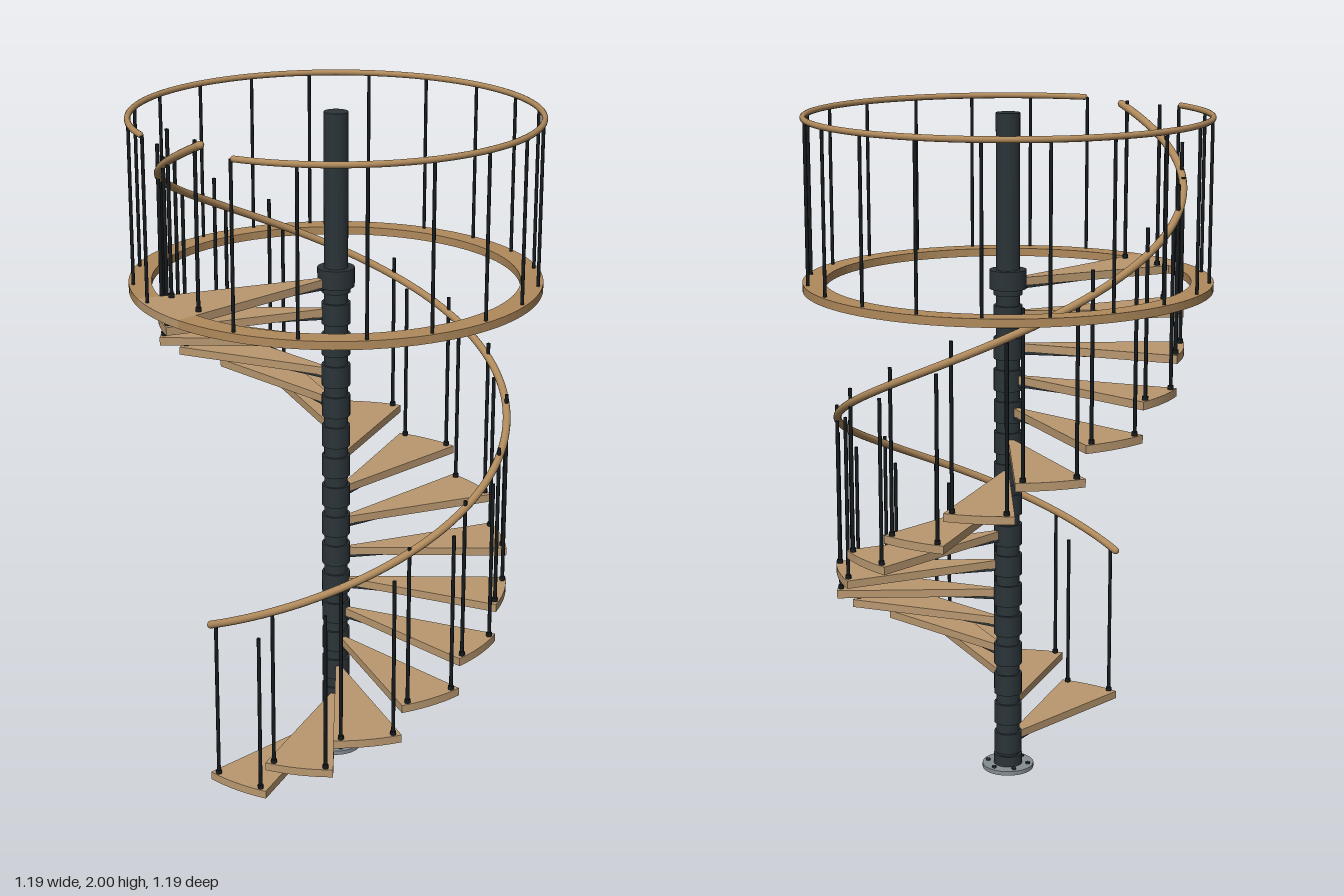
import * as THREE from 'three';

const mat = (color) => new THREE.MeshStandardMaterial({ color });
const TREAD_WOOD = mat(0xb99870), WOOD = mat(0xb08a5c), IRON = mat(0x2b3439), ROD = mat(0x161b1d), STEEL = mat(0x858d94);

const STEPS = 16, STEP_ANGLE = (Math.PI * 2) / STEPS;
const RISE = 0.0947, FIRST = 0.0875, THICK = 0.024;
const rad = THREE.MathUtils.degToRad;

// Angles run from +z towards +x.
const polar = (r, a, y) => new THREE.Vector3(r * Math.sin(a), y, r * Math.cos(a));

function add(parent, name, geometry, material, position) {
  const mesh = new THREE.Mesh(geometry, material);
  mesh.name = name;
  if (position) mesh.position.copy(position);
  parent.add(mesh);
  return mesh;
}

// Flat slab between two radii and two angles, centred on y = 0.
function sector(r0, r1, a0, a1, thick, n) {
  const pts = [];
  for (let i = 0; i <= n; i++) {
    const a = a0 + ((a1 - a0) * i) / n;
    pts.push(new THREE.Vector2(r1 * Math.sin(a), r1 * Math.cos(a)));
  }
  for (let i = n; i >= 0; i--) {
    const a = a0 + ((a1 - a0) * i) / n;
    pts.push(new THREE.Vector2(r0 * Math.sin(a), r0 * Math.cos(a)));
  }
  const g = new THREE.ExtrudeGeometry(new THREE.Shape(pts), { depth: thick, bevelEnabled: false });
  return g.rotateX(Math.PI / 2).translate(0, thick / 2, 0);
}

// Upright cylinder from y0 to y1.
function post(parent, name, radius, y0, y1, material, r = 0, a = 0, sides = 10) {
  return add(parent, name, new THREE.CylinderGeometry(radius, radius, y1 - y0, sides),
    material, polar(r, a, (y0 + y1) / 2));
}

// Circular or helical path for the handrails.
class SpiralCurve extends THREE.Curve {
  constructor(r, a0, a1, y0, y1) {
    super();
    Object.assign(this, { r, a0, a1, y0, y1 });
  }
  getPoint(t, target = new THREE.Vector3()) {
    return target.copy(polar(this.r, THREE.MathUtils.lerp(this.a0, this.a1, t),
      THREE.MathUtils.lerp(this.y0, this.y1, t)));
  }
}

function handrail(parent, name, curve, radius) {
  add(parent, name, new THREE.TubeGeometry(curve, 160, radius, 12), WOOD);
  for (const t of [0, 1]) {
    add(parent, name + 'End', new THREE.SphereGeometry(radius, 12, 8), WOOD, curve.getPoint(t));
  }
}

export function createModel() {
  const model = new THREE.Group();
  model.name = 'spiralStaircase';

  // Central column with base flange and bolts
  const column = new THREE.Group();
  column.name = 'column';
  model.add(column);
  post(column, 'pole', 0.035, 0.01, 2, IRON, 0, 0, 32);
  post(column, 'baseFlange', 0.078, 0, 0.013, STEEL, 0, 0, 40);
  post(column, 'baseSleeve', 0.043, 0.013, 0.045, IRON, 0, 0, 32);
  for (let i = 0; i < 6; i++) {
    post(column, 'flangeBolt', 0.007, 0.013, 0.019, IRON, 0.062, (i * Math.PI) / 3, 6);
  }
  post(column, 'landingCollar', 0.054, 1.492, 1.548, IRON, 0, 0, 32);

  // Treads, each with a hub collar, support bar and two balusters
  const stairs = new THREE.Group();
  stairs.name = 'stairs';
  model.add(stairs);
  for (let i = 0; i < STEPS; i++) {
    const y = FIRST + i * RISE;
    const a0 = i * STEP_ANGLE, a1 = a0 + STEP_ANGLE, mid = (a0 + a1) / 2;
    const top = i === STEPS - 1;
    const step = new THREE.Group();
    step.name = top ? 'landingStep' : 'step';
    stairs.add(step);
    add(step, 'tread', sector(0.03, top ? 0.595 : 0.514, a0, a1, THICK, 10), TREAD_WOOD, new THREE.Vector3(0, y, 0));
    post(step, 'hubCollar', 0.042, y - 0.034, y + 0.03, IRON, 0, 0, 32);
    const bar = add(step, 'supportBar', new THREE.BoxGeometry(0.016, 0.01, 0.37), IRON,
      polar(0.22, mid, y - THICK / 2 - 0.004));
    bar.rotation.y = mid;
    for (const a of [a0 + rad(2.5), a1 - rad(2.5)]) {
      post(step, 'baluster', 0.0055, y - THICK / 2, Math.min(y + 0.497, 1.998), ROD, 0.503, a, 8);
      post(step, 'balusterFoot', 0.0085, y + THICK / 2, y + THICK / 2 + 0.012, ROD, 0.503, a, 8);
    }
  }
  handrail(model, 'stairHandrail', new SpiralCurve(0.502, 0, Math.PI * 2, 0.578, 1.987), 0.0115);

  // Upper ring with its guard rail
  const gallery = new THREE.Group();
  gallery.name = 'upperRing';
  model.add(gallery);
  const ringY = FIRST + (STEPS - 1) * RISE;
  add(gallery, 'ringFloor', sector(0.53, 0.595, 0, Math.PI * 2 - STEP_ANGLE, THICK, 90), WOOD,
    new THREE.Vector3(0, ringY, 0));
  for (let i = 1; i < 20; i++) {
    post(gallery, 'ringBaluster', 0.005, ringY, 1.99, ROD, 0.582, rad(i * 18), 8);
  }
  handrail(gallery, 'ringHandrail', new SpiralCurve(0.583, rad(19), rad(341), 1.991, 1.991), 0.009);

  return model;
}
